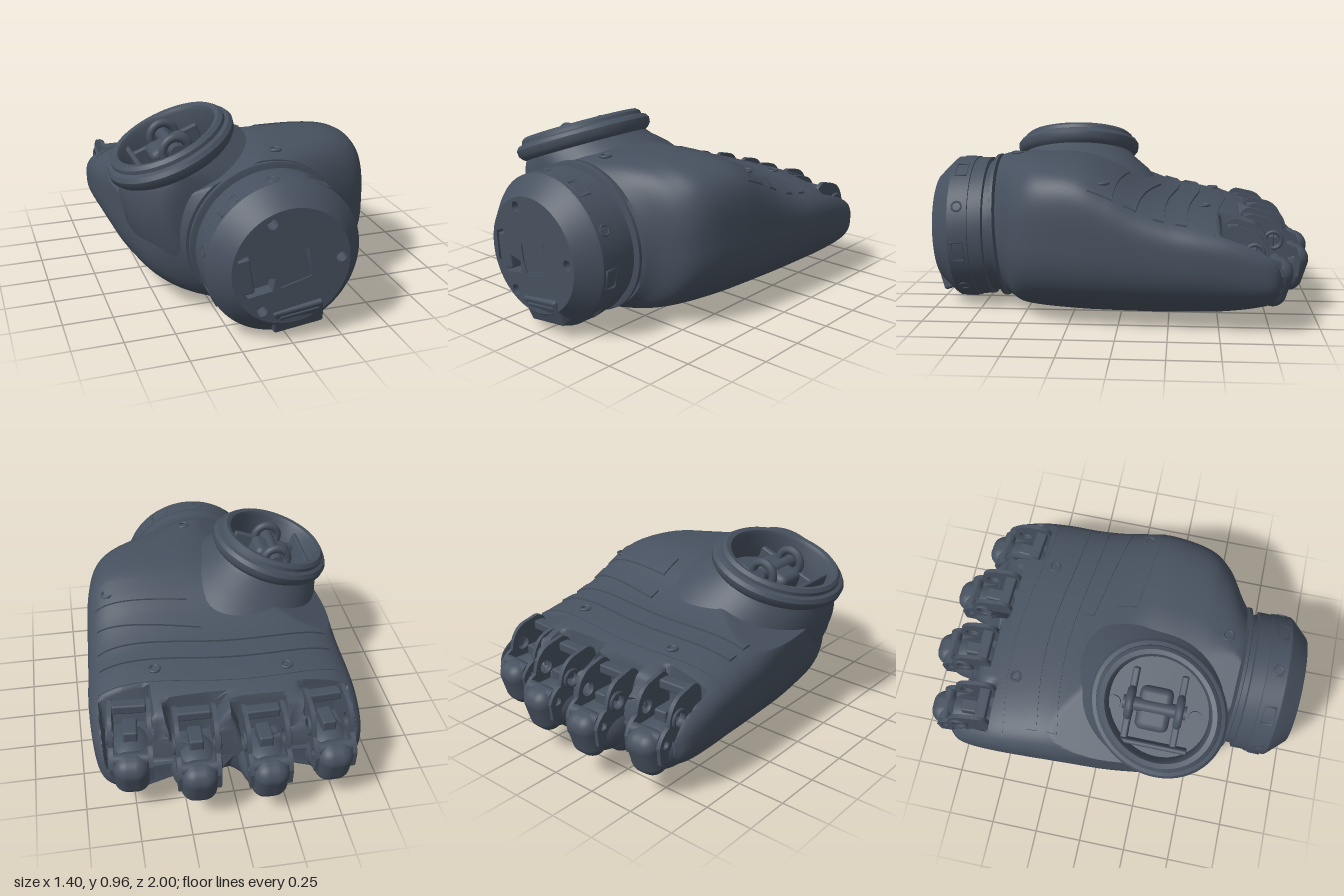
import * as THREE from 'three';
import { toCreasedNormals } from 'three/addons/utils/BufferGeometryUtils.js';
import { RoundedBoxGeometry } from 'three/addons/geometries/RoundedBoxGeometry.js';

// Palm stations: z, xLeft, xRight, yBottom, yTop, yMiddle, top roundness, bottom roundness
const STATIONS = [
  [0.635, -0.41, 0.385, 0.035, 0.80, 0.41, 2, 2],
  [0.60, -0.45, 0.43, 0.03, 0.81, 0.41, 2.2, 2.1],
  [0.52, -0.55, 0.55, 0.022, 0.82, 0.42, 2.9, 2.3],
  [0.40, -0.605, 0.61, 0.014, 0.825, 0.42, 4.2, 2.4],
  [0.20, -0.635, 0.645, 0.008, 0.815, 0.42, 4.6, 2.5],
  [0.05, -0.65, 0.66, 0.006, 0.765, 0.41, 4, 2.5],
  [-0.10, -0.655, 0.67, 0.006, 0.69, 0.40, 3.4, 2.5],
  [-0.25, -0.66, 0.68, 0.008, 0.635, 0.39, 3.1, 2.5],
  [-0.40, -0.665, 0.69, 0.015, 0.605, 0.38, 3, 2.5],
  [-0.55, -0.665, 0.69, 0.03, 0.57, 0.36, 3, 2.6],
  [-0.68, -0.655, 0.68, 0.06, 0.525, 0.32, 3, 2.7],
  [-0.76, -0.635, 0.66, 0.09, 0.475, 0.30, 3, 2.8],
  [-0.80, -0.60, 0.62, 0.14, 0.42, 0.29, 3, 3],
];
// Finger sockets: x, rear of pocket, tip z, splay
const FINGERS = [
  [-0.48, -0.57, -0.94, 0.04], [-0.145, -0.64, -1.0, 0.01],
  [0.20, -0.60, -0.97, -0.03], [0.52, -0.50, -0.86, -0.08],
];
const { smoothstep, lerp } = THREE.MathUtils;

function section(u) {
  const last = STATIONS.length - 1, i = Math.min(Math.floor(u), last - 1), t = u - i;
  const at = k => STATIONS[Math.max(0, Math.min(last, k))];
  return at(i).map((b, k) => {
    const a = at(i - 1)[k], c = at(i + 1)[k], d = at(i + 2)[k];
    return b + 0.5 * t * (c - a + t * (2 * a - 5 * b + 4 * c - d + t * (3 * (b - c) + d - a)));
  });
}
// The thumb side of the back slopes down under the thumb socket
const thumbSlope = x => 0.655 + (x + 0.38) * 0.44;

function topY(x, z) {
  let lo = 0, hi = STATIONS.length - 1;
  for (let k = 0; k < 24; k++) {
    const m = (lo + hi) / 2;
    if (section(m)[0] > z) lo = m; else hi = m;
  }
  const [, xl, xr, , yt, ym, n] = section(lo);
  const f = Math.min(1, Math.abs((x - (xl + xr) / 2) / ((xr - xl) / 2)));
  return Math.min(ym + (yt - ym) * Math.pow(1 - Math.pow(f, n), 1 / n), thumbSlope(x));
}

function palmGeometry() {
  const rows = 130, cols = 180, pos = [], idx = [];
  for (let i = 0; i <= rows; i++) {
    const [z, xl, xr, yb, yt, ym, nt, nb] = section((i / rows) * (STATIONS.length - 1));
    for (let j = 0; j < cols; j++) {
      const a = (j / cols) * Math.PI * 2, c = Math.cos(a), s = Math.sin(a);
      const n = s > 0 ? nt : nb;
      const x = (xl + xr) / 2 + (xr - xl) / 2 * Math.sign(c) * Math.pow(Math.abs(c), 2 / n);
      let y = ym + (s > 0 ? yt - ym : yb - ym) * Math.pow(Math.abs(s), 2 / n);
      if (s > 0) {
        y = Math.min(y, thumbSlope(x));
        // pockets sunk for the finger hinges
        for (const [fx, rear] of FINGERS) {
          const w = (1 - smoothstep(Math.abs(x - fx), 0.105, 0.125)) * (1 - smoothstep(z, rear - 0.02, rear));
          y = lerp(y, Math.min(y, 0.3), w);
        }
      }
      // wrist end leans with the coupling
      let dz = (y - 0.41) * 0.06 * smoothstep(z, 0.48, 0.635);
      // webs scalloped back and up between the fingers
      for (const wx of [-0.31, 0.03, 0.36]) {
        const web = 1 - smoothstep(Math.abs(x - wx), 0, 0.12);
        dz += 0.065 * web * (1 - smoothstep(z, -0.8, -0.66));
        if (s < 0) y += 0.09 * web * -s * (1 - smoothstep(z, -0.8, -0.5));
      }
      pos.push(x, y, z + dz);
    }
  }
  for (let i = 0; i < rows; i++) for (let j = 0; j < cols; j++) {
    const k = (j + 1) % cols, a = i * cols + j, b = i * cols + k;
    idx.push(a, a + cols, b, b, a + cols, b + cols);
  }
  const c0 = pos.length / 3, end = rows * cols;
  pos.push(0, 0.41, 0.635, 0, 0.28, -0.76);
  for (let j = 0; j < cols; j++) {
    const k = (j + 1) % cols;
    idx.push(c0, j, k, c0 + 1, end + k, end + j);
  }
  const g = new THREE.BufferGeometry();
  g.setAttribute('position', new THREE.Float32BufferAttribute(pos, 3));
  g.setIndex(idx);
  return toCreasedNormals(g, 0.7);
}

const lathe = pts => new THREE.LatheGeometry(pts.map(p => new THREE.Vector2(...p)), 80);

export function createModel() {
  const shell = new THREE.MeshStandardMaterial({ color: 0x47515f });
  shell.name = 'slate shell';
  const model = new THREE.Group();
  const add = (parent, name, geo, x = 0, y = 0, z = 0, rx = 0, ry = 0, rz = 0) => {
    const m = new THREE.Mesh(geo, shell);
    m.name = name;
    m.position.set(x, y, z);
    m.rotation.set(rx, ry, rz);
    parent.add(m);
    return m;
  };
  const group = (name, x, y, z) => {
    const g = new THREE.Group();
    g.name = name;
    g.position.set(x, y, z);
    model.add(g);
    return g;
  };
  const box = (x, y, z, r = 0.01) => new RoundedBoxGeometry(x, y, z, 2, r);

  add(model, 'palm', palmGeometry());

  // Raised grip strips draped over the back of the hand
  const strip = (name, x0, x1, depth, zAt, lift) => {
    const g = new THREE.BoxGeometry(x1 - x0, 1, depth, 48, 1, 6), p = g.attributes.position;
    for (let i = 0; i < p.count; i++) {
      const x = p.getX(i) + (x0 + x1) / 2, z = zAt(x) + p.getZ(i);
      p.setXYZ(i, x, topY(x, z) + (p.getY(i) > 0 ? lift : -0.02), z);
    }
    add(model, name, toCreasedNormals(g, 0.6));
  };
  const arch = x => -0.035 * Math.cos((x + 0.12) * 4.2);
  strip('gripStrip', -0.57, 0.62, 0.055, x => -0.345 + arch(x), 0.01);
  strip('gripStrip', -0.57, 0.62, 0.055, x => -0.235 + arch(x), 0.01);
  strip('gripStrip', 0.08, 0.61, 0.06, x => -0.165 + (x - 0.1) * 0.2, 0.01);
  strip('gripPatch', 0.13, 0.61, 0.12, x => 0.02 + (x - 0.1) * 0.12, 0.008);
  strip('knuckleSeam', -0.62, 0.64, 0.01, x => -0.505 + arch(x), 0.004);
  for (const [x, z] of [[-0.31, -0.48], [0.35, -0.42], [0.54, 0.07], [0.06, 0.57]])
    add(model, 'screwRing', new THREE.TorusGeometry(0.026, 0.007, 8, 24), x, topY(x, z) + 0.005, z, -Math.PI / 2);

  // Wrist coupling
  const flange = lathe([[0, -0.012], [0.375, -0.012], [0.388, -0.008], [0.388, 0.008], [0.375, 0.012], [0, 0.012]]);
  add(model, 'wristFlange', toCreasedNormals(flange, 0.6), -0.012, 0.412, 0.66, Math.PI / 2 + 0.06);
  const wrist = group('wrist', -0.012, 0.408, 0.668);
  wrist.rotation.x = 0.025;
  const can = lathe([[0.355, 0], [0.355, 0.045], [0.375, 0.05], [0.375, 0.12], [0.381, 0.122],
    [0.381, 0.225], [0.37, 0.24], [0.29, 0.325], [0.285, 0.325], [0.285, 0.25], [0, 0.25]]);
  add(wrist, 'wristCan', toCreasedNormals(can, 0.6), 0, 0, 0, Math.PI / 2);
  const face = new THREE.Shape().absarc(0, 0, 0.288, 0, Math.PI * 2);
  const cut = pts => face.holes.push(new THREE.Path(pts.map(p => new THREE.Vector2(...p))));
  cut([[-0.26, 0.07], [-0.21, 0.09], [-0.18, -0.03], [-0.08, -0.05], [-0.09, -0.11], [-0.21, -0.13], [-0.255, -0.08]]);
  cut([[-0.08, 0.04], [0.08, 0.085], [0.1, -0.06], [-0.05, -0.1], [-0.07, -0.04]]);
  for (const [x, y] of [[-0.1, 0.225], [0.245, 0.015], [-0.14, -0.21]])
    face.holes.push(new THREE.Path().absarc(x, y, 0.026, 0, Math.PI * 2));
  add(wrist, 'wristFace', new THREE.ExtrudeGeometry(face, { depth: 0.065, bevelEnabled: false, curveSegments: 40 }), 0, 0, 0.26);
  add(wrist, 'centerPlug', new THREE.BoxGeometry(0.17, 0.17, 0.05), 0, -0.005, 0.293, 0, 0, 0.25);
  add(wrist, 'sideContact', box(0.08, 0.18, 0.06), -0.225, -0.03, 0.285, 0, 0, 0.15);
  add(wrist, 'latch', box(0.25, 0.14, 0.09, 0.015), 0.045, -0.262, 0.278, 0.3, 0, 0.16);
  add(wrist, 'latchBar', box(0.2, 0.025, 0.02, 0.008), 0.045, -0.245, 0.325, 0.3, 0, 0.16);
  for (let i = 0; i < 10; i++) {
    const a = i * Math.PI / 5 + 1.08, slot = i % 2 === 0;
    const m = add(wrist, slot ? 'wristSlot' : 'wristHole',
      new THREE.TorusGeometry(slot ? 0.05 : 0.025, 0.006, 6, slot ? 4 : 20), 0.379 * Math.cos(a), 0.379 * Math.sin(a), 0.175);
    if (slot) m.geometry.rotateZ(Math.PI / 4).scale(1.4, 0.85, 1);
    // face outward, long side around the rim
    m.rotation.set(-Math.PI / 2, 0, a - Math.PI / 2, 'ZXY');
  }

  // Thumb socket: neck flaring into the palm, rim and sunken cup
  const thumb = group('thumbSocket', -0.385, 0.793, 0.295);
  thumb.rotation.z = 0.36;
  const cup = lathe([[0.34, -0.42], [0.35, -0.25], [0.335, -0.14], [0.315, -0.07], [0.305, -0.045],
    [0.32, -0.035], [0.335, -0.015], [0.338, 0.015], [0.325, 0.035], [0.305, 0.042], [0.302, 0.06], [0.285, 0.075],
    [0.262, 0.07], [0.25, 0.05], [0.25, -0.1], [0, -0.1]]);
  const cp = cup.attributes.position;
  for (let i = 0; i < cp.count; i++) {
    const y = cp.getY(i), x = cp.getX(i), z = cp.getZ(i) * 1.04;
    const flare = 1 + 0.4 * (1 - smoothstep(y, -0.25, -0.03));
    const outer = i % 16 < 5;
    cp.setXYZ(i, (outer && x > 0 ? x * flare : x) - 0.12 * z, y, outer ? (z < 0 ? z * flare : Math.min(z, 0.32)) : z);
  }
  add(thumb, 'thumbCup', toCreasedNormals(cup, 0.6));
  add(thumb, 'thumbBlock', box(0.22, 0.12, 0.17, 0.035), -0.01, -0.03, -0.02);
  add(thumb, 'thumbWall', box(0.025, 0.13, 0.36), -0.19, -0.03, 0.0);
  add(thumb, 'thumbAxle', new THREE.CylinderGeometry(0.035, 0.035, 0.32, 24), 0, 0.01, -0.02, Math.PI / 2);
  for (const s of [-1, 1]) {
    add(thumb, 'thumbBracket', box(0.38, 0.09, 0.035), -0.01, -0.05, -0.02 + s * 0.125);
    add(thumb, 'thumbBearing', new THREE.TorusGeometry(0.065, 0.022, 10, 28), 0, 0.01, -0.02 + s * 0.125);
    add(thumb, 'thumbBoss', new THREE.CylinderGeometry(0.035, 0.035, 0.05, 24), -0.02, -0.08, -0.02 + s * 0.21);
  }

  // Finger sockets
  for (const [x, rear, tip, splay] of FINGERS) {
    const f = group('fingerSocket', x, 0, tip);
    f.rotation.y = splay;
    const len = rear - tip;
    const pad = add(f, 'fingerPad', new THREE.SphereGeometry(1, 32, 20), 0, 0.245, 0.215);
    pad.scale.set(0.13, 0.125, 0.18);
    add(f, 'fingerTip', new RoundedBoxGeometry(0.18, 0.24, 0.15, 5, 0.07), 0, 0.25, 0.092, -0.3);
    // hinge cheek profile, drawn with u running back along the finger
    const cheek = new THREE.Shape();
    cheek.moveTo(0.06, 0.22);
    cheek.lineTo(0.05, 0.31);
    cheek.quadraticCurveTo(0.07, 0.37, 0.12, 0.39);
    cheek.quadraticCurveTo(0.14, 0.51, 0.23, 0.525);
    cheek.lineTo(len - 0.07, 0.54);
    cheek.quadraticCurveTo(len - 0.02, 0.54, len - 0.01, 0.48);
    cheek.lineTo(len - 0.01, 0.25);
    for (const [u, v, r] of [[0.19, 0.41, 0.036], [0.095, 0.315, 0.02]])
      cheek.holes.push(new THREE.Path().absarc(u, v, r, 0, Math.PI * 2));
    const plate = new THREE.ExtrudeGeometry(cheek, { depth: 0.022, bevelEnabled: false, curveSegments: 16 });
    plate.rotateY(-Math.PI / 2);
    for (const s of [-1, 1]) {
      add(f, 'hingeCheek', plate, s * 0.095 + 0.011);
      add(f, 'hingeRing', new THREE.TorusGeometry(0.042, 0.01, 8, 24), s * 0.108, 0.41, 0.19, 0, Math.PI / 2);
    }
    add(f, 'hingeBridge', box(0.17, 0.05, 0.06), 0, 0.49, len - 0.06);
    add(f, 'hingeLink', box(0.07, 0.1, 0.12), 0, 0.37, 0.24);
    add(f, 'tipRoll', new THREE.CylinderGeometry(0.03, 0.03, 0.17, 20), 0, 0.34, 0.09, 0, 0, Math.PI / 2);
    add(f, 'pocketFloor', box(0.19, 0.06, len - 0.12), 0, 0.31, (len + 0.12) / 2);
  }
  return model;
}
